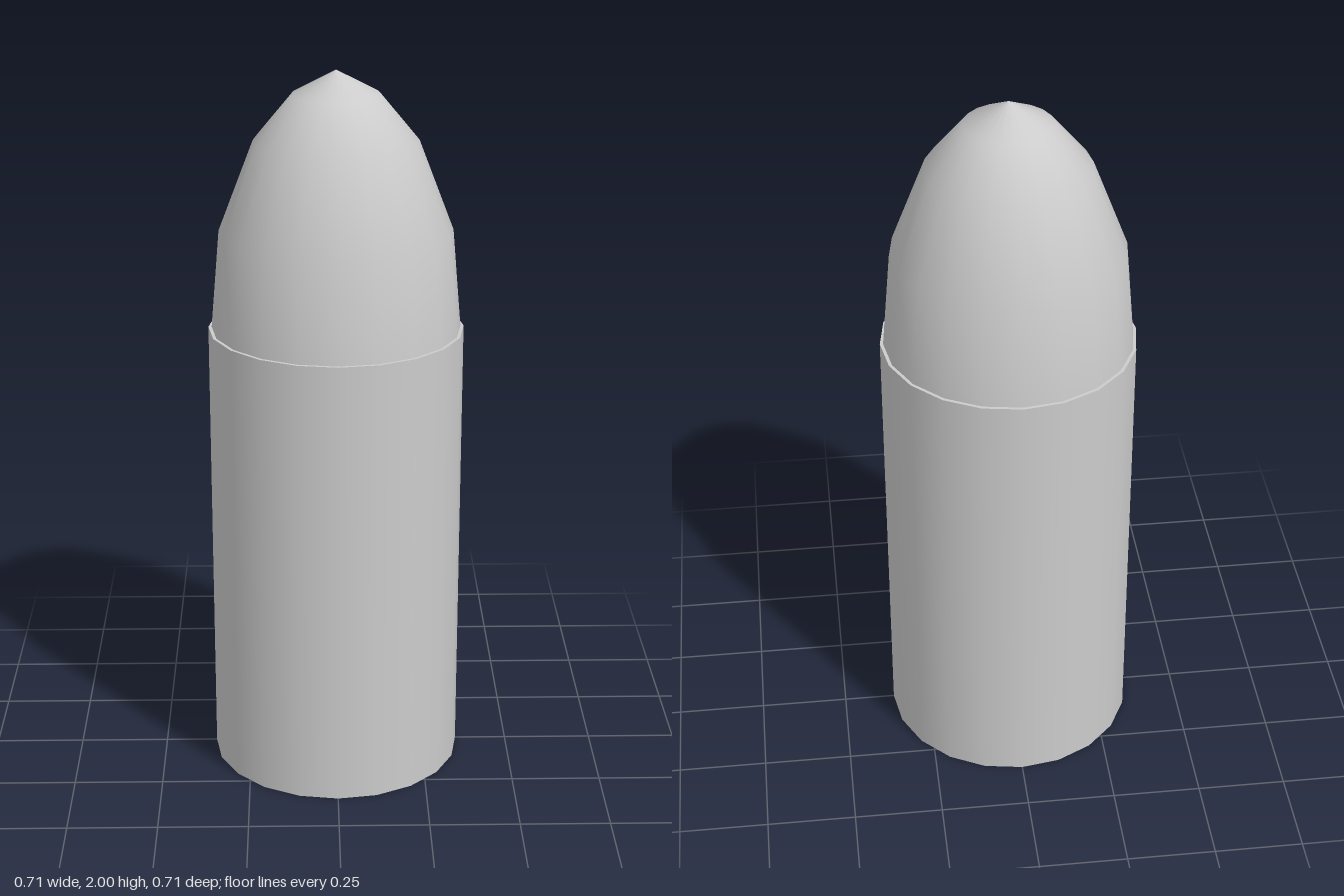
import * as THREE from 'three';

const SIDES = 20;

// Surface of revolution from [radius, height] pairs, listed from bottom to top
function turned(name, profile) {
  const points = profile.map(([r, y]) => new THREE.Vector2(r, y));
  const material = new THREE.MeshStandardMaterial({ color: 0xcccccc, side: THREE.DoubleSide });
  const mesh = new THREE.Mesh(new THREE.LatheGeometry(points, SIDES), material);
  mesh.name = name;
  return mesh;
}

export function createModel() {
  const group = new THREE.Group();
  group.name = 'roundNosedCylinder';

  // Straight tube, open at the bottom
  group.add(turned('casing', [[0.353, 0], [0.353, 1.285]]));

  // Narrow ledge between the casing and the nose
  group.add(turned('shoulder', [[0.353, 1.285], [0.344, 1.285]]));

  // Pointed dome
  group.add(turned('nose', [
    [0.344, 1.285], [0.32, 1.56], [0.224, 1.81], [0.12, 1.935], [0, 2],
  ]));

  return group;
}
